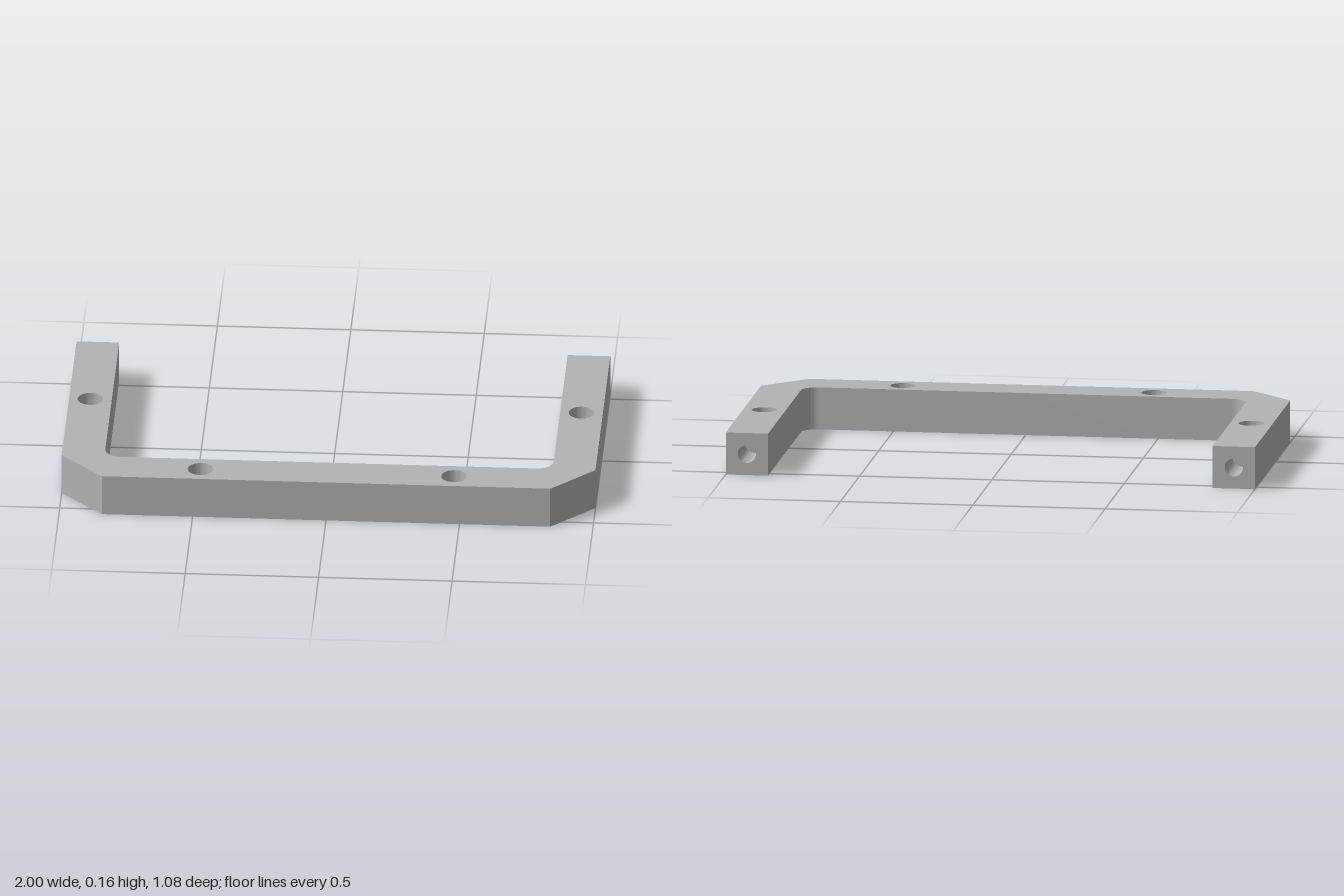
import * as THREE from 'three';
import { toCreasedNormals } from 'three/addons/utils/BufferGeometryUtils.js';

const HEIGHT = 0.16, OUT = 1, IN = 0.84, FRONT = 0.54, BACK = -0.54, INNER = 0.38;
const FILLET = 0.06, BORE_DEPTH = 0.2;

function addHole(shape, x, y, radius) {
  shape.holes.push(new THREE.Path().absarc(x, y, radius, 0, Math.PI * 2, true));
}

function extrude(shape, depth) {
  return new THREE.ExtrudeGeometry(shape, { depth, bevelEnabled: false, curveSegments: 20 });
}

export function createModel() {
  const model = new THREE.Group();
  model.name = 'mountingBracket';
  const metal = new THREE.MeshStandardMaterial({ color: 0xb3b3b3 });
  metal.name = 'grey metal';

  const add = (geometry, name) => {
    const mesh = new THREE.Mesh(toCreasedNormals(geometry, 0.5), metal);
    mesh.name = name;
    model.add(mesh);
  };

  // U-shaped frame drawn in plan (shape y = -z), chamfered outside and filleted inside
  const armEnd = -BACK - BORE_DEPTH;
  const plan = new THREE.Shape();
  plan.moveTo(-OUT, armEnd);
  plan.lineTo(-OUT, -INNER);
  plan.lineTo(-IN, -FRONT);
  plan.lineTo(IN, -FRONT);
  plan.lineTo(OUT, -INNER);
  plan.lineTo(OUT, armEnd);
  plan.lineTo(IN, armEnd);
  plan.absarc(IN - FILLET, FILLET - INNER, FILLET, 0, -Math.PI / 2, true);
  plan.absarc(FILLET - IN, FILLET - INNER, FILLET, -Math.PI / 2, -Math.PI, true);
  plan.lineTo(-IN, armEnd);
  plan.closePath();

  // Vertical through holes
  for (const side of [-1, 1]) {
    addHole(plan, side * 0.92, 0.08, 0.048);
    addHole(plan, side * 0.475, -0.46, 0.048);
  }
  add(extrude(plan, HEIGHT).rotateX(-Math.PI / 2), 'frame');

  // Arm tips with a blind bore in the rear face
  for (const side of [-1, 1]) {
    const half = HEIGHT / 2;
    const section = new THREE.Shape([
      new THREE.Vector2(-half, -half), new THREE.Vector2(half, -half),
      new THREE.Vector2(half, half), new THREE.Vector2(-half, half),
    ]);
    addHole(section, 0, 0, 0.034);
    add(extrude(section, BORE_DEPTH).translate(side * 0.92, half, BACK),
      side > 0 ? 'leftArmTip' : 'rightArmTip');
  }
  return model;
}
